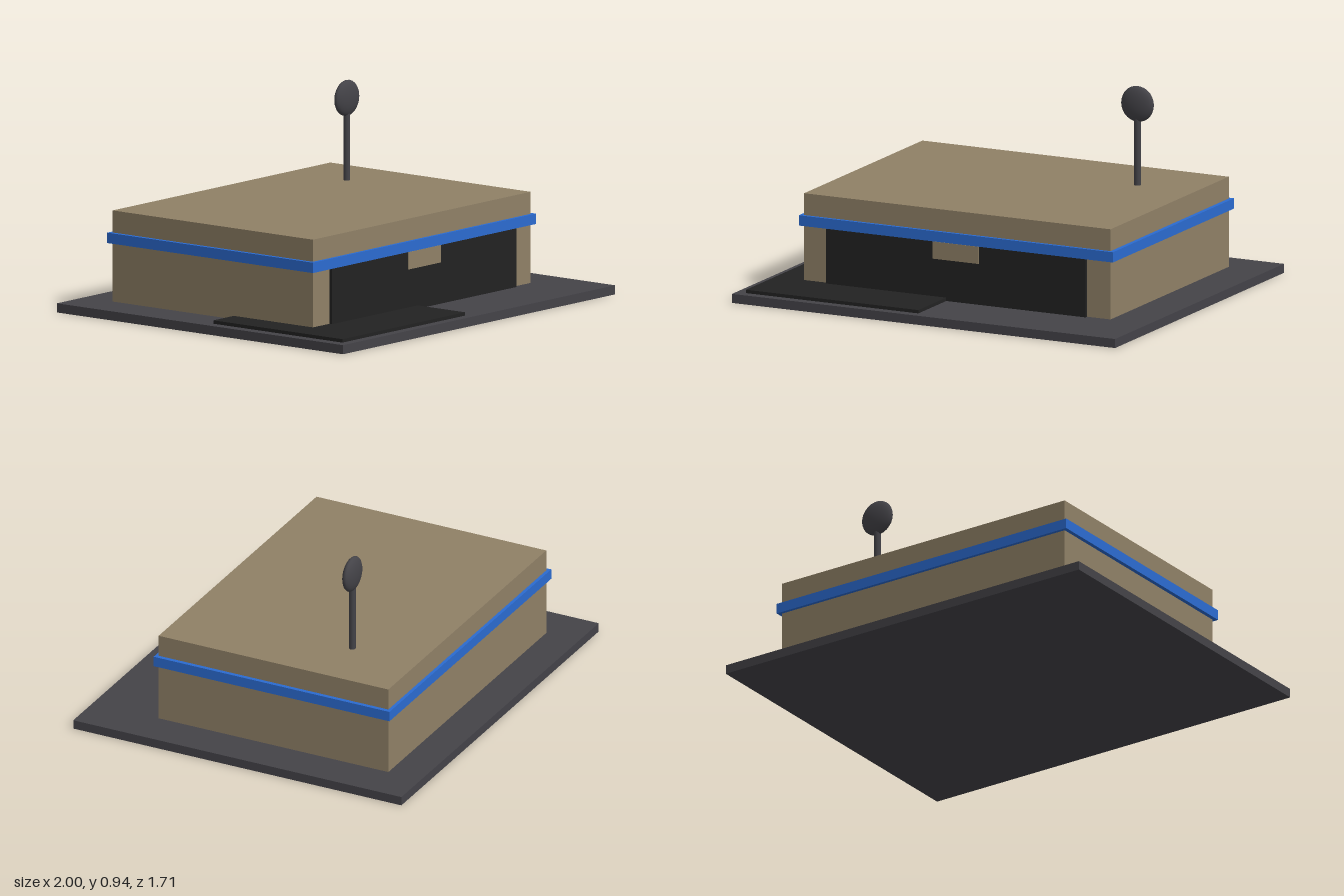
import * as THREE from 'three';

const material = (name, color) => {
  const m = new THREE.MeshStandardMaterial({ color });
  m.name = name;
  return m;
};

export function createModel() {
  const group = new THREE.Group();
  const tan = material('tan wall', 0x8f8066);
  const blue = material('blue trim', 0x2b6bd0);
  const grey = material('dark grey', 0x444348);
  const black = material('black', 0x222222);

  const add = (name, geometry, mat, x, y, z) => {
    const mesh = new THREE.Mesh(geometry, mat);
    mesh.name = name;
    mesh.position.set(x, y, z);
    group.add(mesh);
    return mesh;
  };
  // Box given by its extents along each axis
  const box = (name, mat, [x0, x1], [y0, y1], [z0, z1]) =>
    add(name, new THREE.BoxGeometry(x1 - x0, y1 - y0, z1 - z0), mat,
      (x0 + x1) / 2, (y0 + y1) / 2, (z0 + z1) / 2);

  // Ground slab and the dark paved corner
  box('baseSlab', grey, [-1, 1], [0, 0.043], [-0.857, 0.857]);
  box('pavedPad', black, [-0.95, -0.05], [0.043, 0.059], [0.04, 0.813]);

  // Building with a trim band all round
  box('building', tan, [-0.8, 0.8], [0.043, 0.473], [-0.686, 0.514]);
  box('trimBand', blue, [-0.82, 0.82], [0.32, 0.369], [-0.702, 0.53]);

  // Wide dark frontage and the small panel above its middle
  box('frontOpening', black, [-0.678, 0.678], [0.043, 0.32], [0.51, 0.53]);
  box('entrancePanel', tan, [-0.12, 0.12], [0.238, 0.32], [0.525, 0.532]);

  // Roof mast with a flattened dish
  add('mast', new THREE.CylinderGeometry(0.016, 0.016, 0.39, 12), grey, 0.5, 0.665, -0.343);
  const dish = add('dish', new THREE.SphereGeometry(0.085, 20, 14), grey, 0.5, 0.86, -0.343);
  dish.scale.z = 0.35;

  return group;
}
